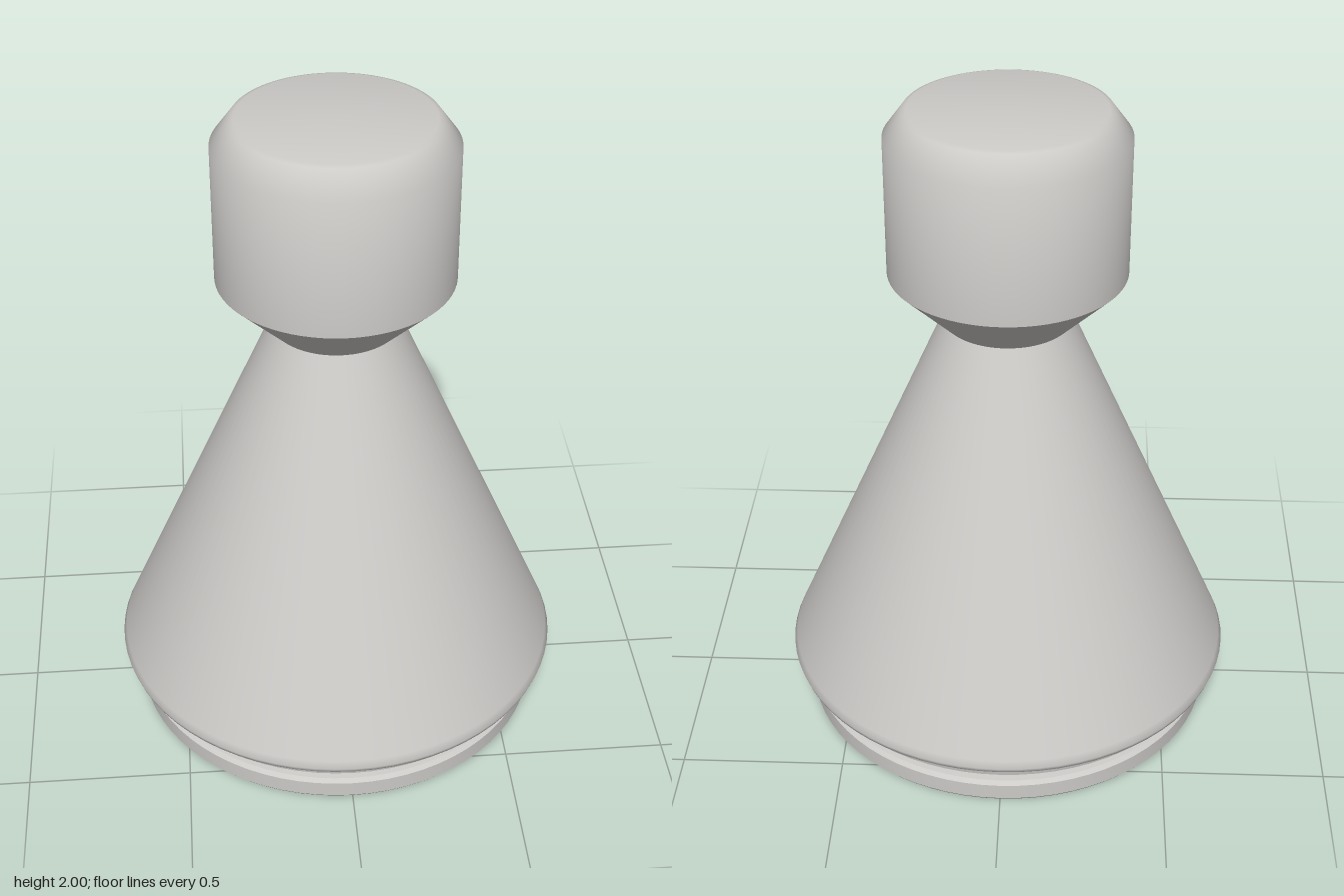
import * as THREE from 'three';
import { toCreasedNormals } from 'three/addons/utils/BufferGeometryUtils.js';

const SEGMENTS = 72;

export function createModel() {
  const group = new THREE.Group();
  group.name = 'gamePawn';
  const lightGrey = new THREE.MeshStandardMaterial({ color: 0xcccac7 });
  lightGrey.name = 'lightGrey';

  // Turned part from [radius, height] points, listed bottom to top
  function turned(name, profile, crease = 0.5) {
    const points = profile.map(([r, y]) => new THREE.Vector2(r, y));
    const geometry = toCreasedNormals(new THREE.LatheGeometry(points, SEGMENTS), crease);
    const mesh = new THREE.Mesh(geometry, lightGrey);
    mesh.name = name;
    group.add(mesh);
  }

  // Foot disc with softened edges and the groove above it
  turned('footDisc', [[0, 0], [0.635, 0], [0.643, 0.01], [0.643, 0.06], [0.63, 0.07], [0.595, 0.075]]);
  turned('groove', [[0.595, 0.075], [0.595, 0.11]]);

  // Flared rim and tapering body
  turned('rim', [[0.595, 0.11], [0.648, 0.11], [0.652, 0.135], [0.695, 0.165], [0.7, 0.18], [0.69, 0.203]], 0.8);
  turned('body', [[0.69, 0.203], [0.195, 1.34]]);

  // Head: flared collar, straight side, bevelled flat top
  turned('collar', [[0.195, 1.34], [0.355, 1.5]]);
  turned('head', [[0.355, 1.5], [0.355, 1.92], [0.3, 1.995], [0.285, 2], [0, 2]], 0.7);

  return group;
}
